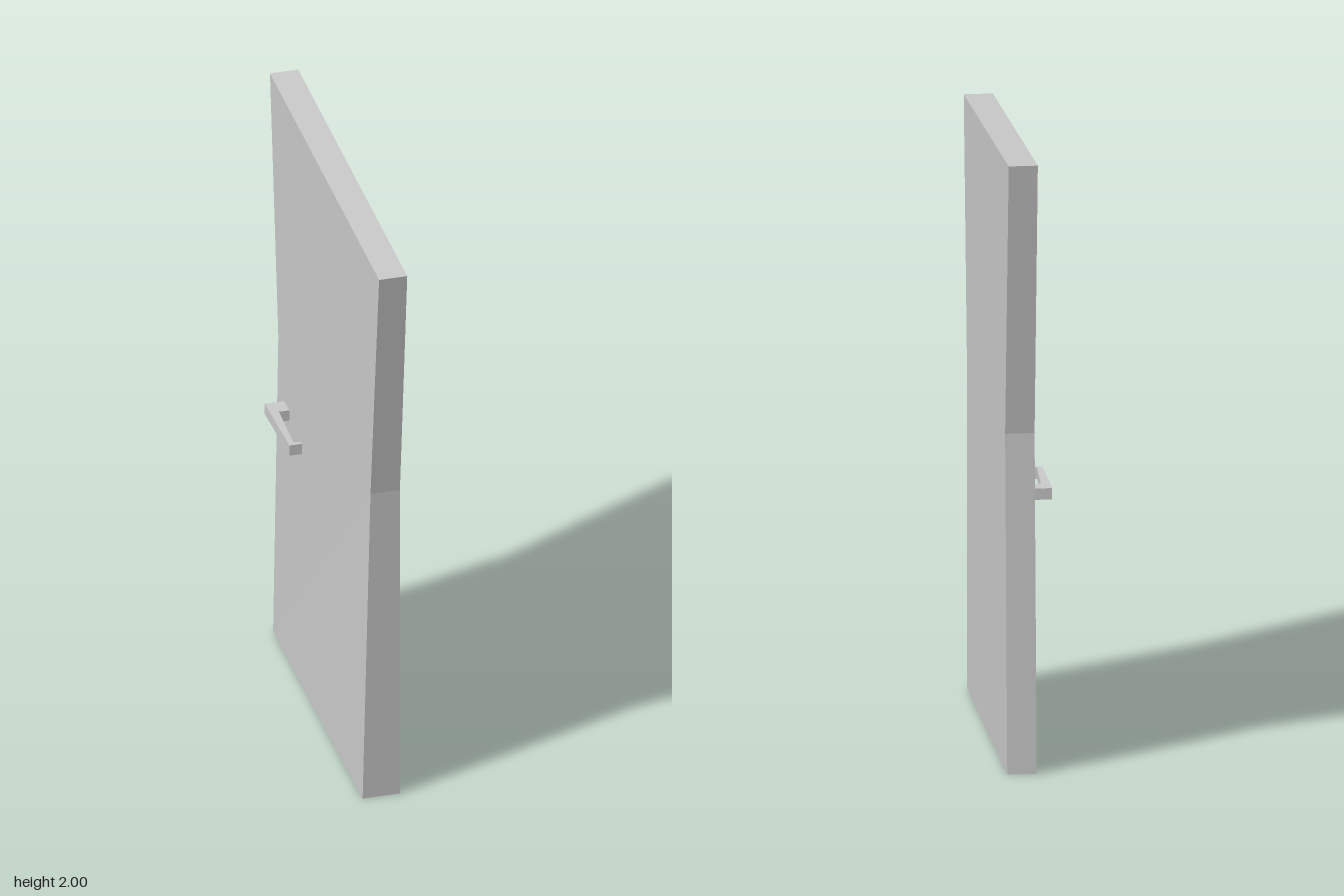
import * as THREE from 'three';

// Rows from bottom to top: [z, y, inner face x] at the front and back edges
const FRONT_EDGE = [[0.545, 0, -0.046], [0.545, 1.1, -0.02], [0.63, 1.92, -0.016]];
const BACK_EDGE = [[-0.59, 0, -0.017], [-0.53, 1.1, -0.017], [-0.63, 2, -0.016]];
const OUTER_X = 0.077;

// Slab whose box corners are moved onto the crooked outline
function makePanel(material) {
  const box = new THREE.BoxGeometry(2, 2, 2, 1, 2, 1);
  const p = box.attributes.position;
  for (let i = 0; i < p.count; i++) {
    const row = Math.round(p.getY(i)) + 1;
    const [z, y, innerX] = (p.getZ(i) > 0 ? FRONT_EDGE : BACK_EDGE)[row];
    p.setXYZ(i, p.getX(i) > 0 ? OUTER_X : innerX, y, z);
  }
  const geometry = box.toNonIndexed();
  geometry.computeVertexNormals();
  const mesh = new THREE.Mesh(geometry, material);
  mesh.name = 'doorPanel';
  return mesh;
}

// Hooked lever: plan outline in [x, z], extruded upwards
function makeHandle(material) {
  const plan = [
    [-0.015, -0.463], [-0.081, -0.463], [-0.081, -0.178], [-0.04, -0.178],
    [-0.04, -0.189], [-0.063, -0.195], [-0.052, -0.4], [-0.015, -0.4],
  ];
  const shape = new THREE.Shape(plan.map(([x, z]) => new THREE.Vector2(x, -z)));
  const geometry = new THREE.ExtrudeGeometry(shape, { depth: 0.037, bevelEnabled: false });
  geometry.rotateX(-Math.PI / 2);
  const mesh = new THREE.Mesh(geometry, material);
  mesh.position.y = 0.864;
  mesh.name = 'doorHandle';
  return mesh;
}

export function createModel() {
  const material = new THREE.MeshStandardMaterial({ color: 0xcccccc, flatShading: true });
  const door = new THREE.Group();
  door.name = 'door';
  door.add(makePanel(material), makeHandle(material));
  return door;
}
